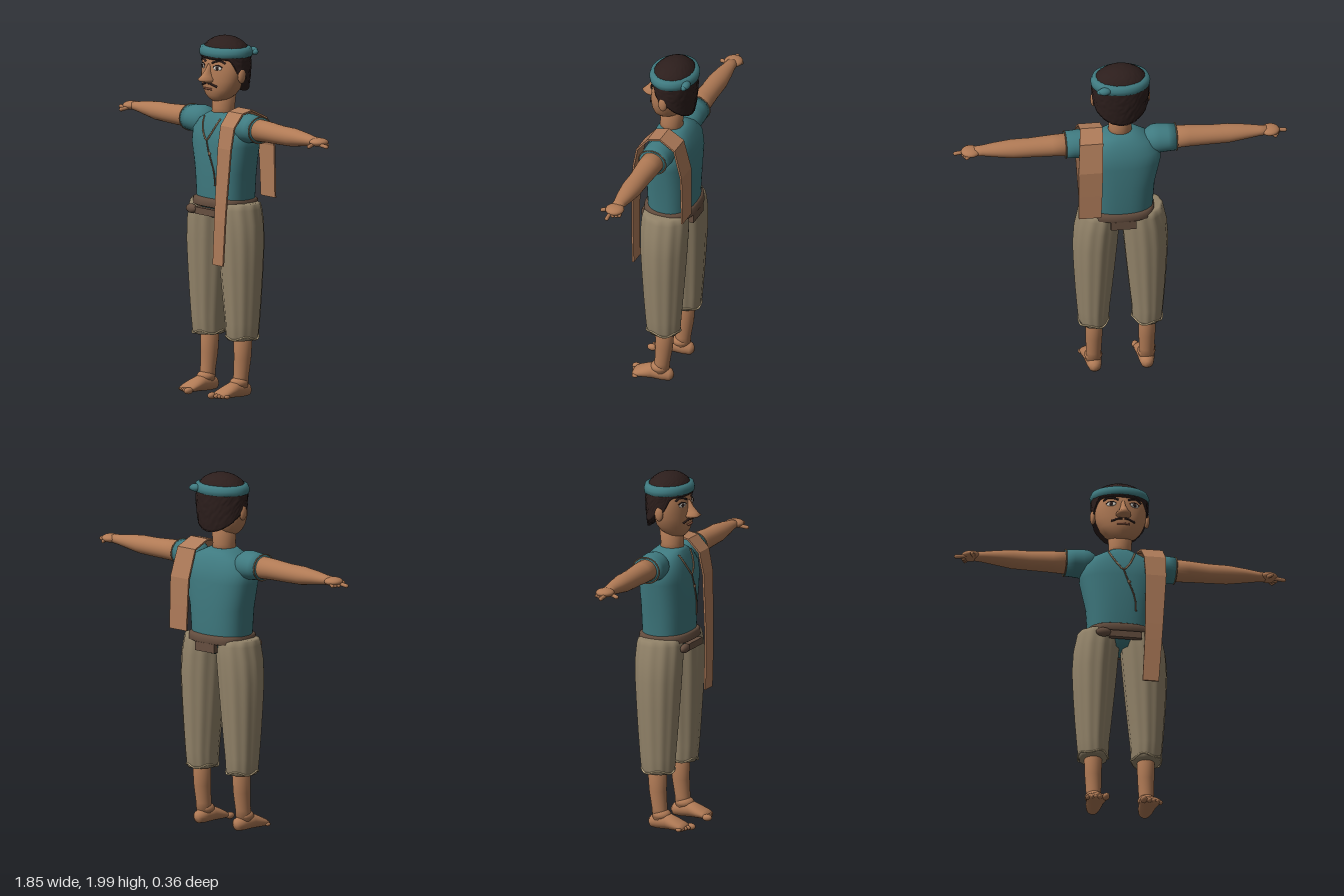
import * as THREE from 'three';

const mat = (name, color) => Object.assign(new THREE.MeshStandardMaterial({ color }), { name });
const V = (x, y, z) => new THREE.Vector3(x, y, z);

// Closed surface through a list of point rings, with capped ends
function skinRings(rings) {
  const n = rings[0].length, pos = [], idx = [];
  rings.forEach(r => r.forEach(p => pos.push(p.x, p.y, p.z)));
  for (let i = 0; i < rings.length - 1; i++) {
    for (let j = 0; j < n; j++) {
      const k = (j + 1) % n, a = i * n + j, b = i * n + k, c = a + n, d = b + n;
      idx.push(a, c, b, b, c, d);
    }
  }
  [0, rings.length - 1].forEach(i => {
    const mid = V(0, 0, 0);
    rings[i].forEach(p => mid.addScaledVector(p, 1 / n));
    const m = pos.push(mid.x, mid.y, mid.z) / 3 - 1;
    for (let j = 0; j < n; j++) {
      const a = i * n + j, b = i * n + (j + 1) % n;
      if (i === 0) idx.push(m, a, b); else idx.push(m, b, a);
    }
  });
  const g = new THREE.BufferGeometry();
  g.setAttribute('position', new THREE.Float32BufferAttribute(pos, 3));
  g.setIndex(idx);
  g.computeVertexNormals();
  return g;
}

// Loft from rows [height, centre x, centre z, radius x, radius z]; p < 1 squares the section
function loft(rows, { n = 32, p = 1, fold = 0, folds = 11 } = {}) {
  const pw = v => Math.sign(v) * Math.abs(v) ** p;
  return skinRings(rows.map(([y, cx, cz, rx, rz]) => Array.from({ length: n }, (_, j) => {
    const t = j / n * Math.PI * 2, f = 1 + fold * Math.cos(folds * t);
    return V(cx + rx * f * pw(Math.cos(t)), y, cz + rz * f * pw(Math.sin(t)));
  })));
}

// Depth of the front surface of a loft at x, y
function frontZ(rows, p, x, y) {
  const i = Math.max(1, rows.findIndex(r => r[0] >= y));
  const t = (y - rows[i - 1][0]) / (rows[i][0] - rows[i - 1][0]);
  const [, , cz, rx, rz] = rows[i].map((v, k) => THREE.MathUtils.lerp(rows[i - 1][k], v, t));
  return cz + rz * Math.max(0, 1 - Math.abs(x / rx) ** (2 / p)) ** (p / 2);
}

const ball = (x, y, z, a, b, c) => new THREE.SphereGeometry(1, 20, 14).scale(a, b, c).translate(x, y, z);
const tube = (pts, r, closed = false) =>
  new THREE.TubeGeometry(new THREE.CatmullRomCurve3(pts, closed), pts.length * 5, r, 7, closed);
function finger(a, b, r) {
  const d = b.clone().sub(a), g = new THREE.CapsuleGeometry(r, d.length(), 5, 10);
  g.applyQuaternion(new THREE.Quaternion().setFromUnitVectors(V(0, 1, 0), d.normalize()));
  return g.translate((a.x + b.x) / 2, (a.y + b.y) / 2, (a.z + b.z) / 2);
}
function mirrored(g) {
  const m = g.clone().scale(-1, 1, 1), ix = m.index.array;
  for (let i = 0; i < ix.length; i += 3) [ix[i], ix[i + 1]] = [ix[i + 1], ix[i]];
  return m;
}

export function createModel() {
  const root = new THREE.Group();
  root.name = 'villager';
  const skin = mat('skin', 0xb07a55), teal = mat('teal cloth', 0x3f7a80), hairM = mat('dark hair', 0x2c1e1c);
  const khaki = mat('khaki cloth', 0x93846a), leather = mat('brown sash', 0x664f40);
  const scarfM = mat('tan scarf', 0xae7b59), trim = mat('pale trim', 0xc4b08a);
  const cordM = mat('cord', 0x8a6f55), white = mat('eye white', 0xd8d2c8), lip = mat('lip', 0x84503c);
  const add = (name, g, m) => {
    const mesh = new THREE.Mesh(g, m);
    mesh.name = name;
    root.add(mesh);
  };
  const pair = (name, g, m) => {
    add(name + 'Left', g, m);
    add(name + 'Right', mirrored(g), m);
  };

  // Shirt, with a cord necklace and a slanted front opening
  const torso = [[0.99, 0, -0.03, 0.08, 0.08], [1.04, 0, -0.032, 0.165, 0.12], [1.1, 0, -0.032, 0.177, 0.13],
    [1.25, 0, -0.032, 0.188, 0.135], [1.4, 0, -0.032, 0.222, 0.137], [1.47, 0, -0.032, 0.22, 0.128],
    [1.53, 0, -0.03, 0.17, 0.105], [1.56, 0, -0.025, 0.11, 0.085], [1.578, 0, -0.02, 0.07, 0.068]];
  add('shirt', loft(torso, { p: 0.8, n: 40 }), teal);
  const onChest = (x, y) => V(x, y, frontZ(torso, 0.8, x, y) + 0.003);
  add('necklace', tube([[-0.075, 1.55], [-0.06, 1.51], [-0.03, 1.46], [0, 1.43], [0.03, 1.46], [0.055, 1.51], [0.07, 1.55]]
    .map(q => onChest(...q)), 0.005), cordM);
  add('shirtOpening', tube([[0, 1.43], [0.025, 1.36], [0.05, 1.3], [0.065, 1.25], [0.07, 1.18]]
    .map(q => onChest(...q)), 0.0045), leather);
  const bead = onChest(0.03, 1.355);
  add('bead', ball(bead.x, bead.y, bead.z, 0.01, 0.01, 0.008), cordM);

  // Sash with pouch
  add('sash', loft([[1.055, 0, -0.03, 0.17, 0.135], [1.062, 0, -0.03, 0.185, 0.148], [1.098, 0, -0.03, 0.183, 0.144],
    [1.106, 0, -0.03, 0.17, 0.13]], { p: 0.7, n: 40 }), leather);
  add('sashFold', new THREE.BoxGeometry(0.18, 0.038, 0.03).translate(0.01, 1.03, 0.107), leather);
  add('sashBackFold', new THREE.BoxGeometry(0.14, 0.05, 0.03).translate(0, 1.035, -0.16), leather);
  add('pouch', ball(-0.115, 1.035, 0.117, 0.042, 0.026, 0.022).rotateZ(0.0), leather);

  // Sleeves, arms and hands, lofted along x
  const alongX = rows => loft(rows, { n: 28 }).rotateZ(-Math.PI / 2).translate(0, 1.506, 0);
  pair('sleeve', alongX([[0.13, 0, -0.03, 0.035, 0.04], [0.145, 0, -0.03, 0.058, 0.062], [0.175, 0, -0.03, 0.077, 0.08],
    [0.21, 0, -0.03, 0.081, 0.084], [0.26, 0, -0.03, 0.075, 0.083], [0.308, 0, -0.03, 0.072, 0.081]]), teal);
  pair('sleeveHem', new THREE.TorusGeometry(0.075, 0.004, 6, 32).rotateY(Math.PI / 2)
    .scale(1, 0.97, 1.08).translate(0.307, 1.506, -0.03), cordM);
  pair('arm', alongX([[0.28, 0, -0.03, 0.063, 0.066], [0.38, 0, -0.03, 0.058, 0.063], [0.5, 0.003, -0.03, 0.053, 0.056],
    [0.6, 0.002, -0.03, 0.051, 0.057], [0.7, 0, -0.03, 0.038, 0.046], [0.77, 0, -0.03, 0.028, 0.034],
    [0.81, 0, -0.03, 0.024, 0.034]]), skin);
  pair('palm', ball(0.83, 1.506, -0.03, 0.053, 0.024, 0.052), skin);
  pair('indexFinger', finger(V(0.85, 1.497, -0.015), V(0.914, 1.49, -0.017), 0.011), skin);
  pair('thumb', finger(V(0.82, 1.497, 0), V(0.835, 1.488, 0.043), 0.011), skin);
  [-0.035, -0.053, -0.068].forEach((z, i) => pair('curledFinger' + i,
    finger(V(0.845, 1.497, z), V(0.872 - i * 0.008, 1.488, z), 0.01), skin));

  // Trousers with soft vertical folds and a wavy hem
  pair('trouserLeg', loft([[0.325, 0.148, -0.03, 0.076, 0.086], [0.345, 0.148, -0.03, 0.083, 0.094],
    [0.42, 0.15, -0.03, 0.088, 0.1], [0.55, 0.148, -0.03, 0.1, 0.11], [0.7, 0.145, -0.03, 0.112, 0.12],
    [0.85, 0.141, -0.03, 0.122, 0.129], [0.97, 0.132, -0.03, 0.123, 0.133], [1.05, 0.121, -0.03, 0.117, 0.13],
    [1.078, 0.12, -0.03, 0.113, 0.122], [1.085, 0.12, -0.03, 0.1, 0.105]], { n: 66, fold: 0.022 }), khaki);
  pair('trouserHem', tube(Array.from({ length: 24 }, (_, i) => {
    const t = i / 24 * Math.PI * 2;
    return V(0.148 + 0.084 * Math.cos(t), 0.338 + 0.009 * Math.sin(4 * t), -0.03 + 0.094 * Math.sin(t));
  }), 0.005, true), trim);

  // Shins and bare feet
  pair('shin', loft([[0.06, 0.147, -0.015, 0.043, 0.046], [0.12, 0.147, -0.022, 0.042, 0.043],
    [0.22, 0.147, -0.033, 0.046, 0.049], [0.36, 0.147, -0.037, 0.05, 0.055]]), skin);
  pair('ankle', ball(0.147, 0.085, -0.008, 0.05, 0.034, 0.052), skin);
  pair('foot', loft([[-0.084, 0.145, -0.042, 0.015, 0.018], [-0.07, 0.145, -0.043, 0.034, 0.034],
    [-0.03, 0.146, -0.048, 0.043, 0.043], [0.03, 0.147, -0.052, 0.05, 0.045], [0.08, 0.149, -0.041, 0.058, 0.034],
    [0.12, 0.15, -0.031, 0.058, 0.024], [0.14, 0.15, -0.028, 0.045, 0.017]]).rotateX(Math.PI / 2), skin);
  for (let i = 0; i < 5; i++) {
    const r = i ? 0.0145 - i * 0.0008 : 0.019, x = i ? 0.116 + i * 0.022 : 0.105;
    pair('toe' + i, ball(x, 0.023, 0.147 - i * 0.007, r, r, r * 1.5), skin);
  }

  // Scarf: thin strip running up the chest, over the shoulder and down the back
  const path = [[0.1, 0.19, 0.75, 0.135], [0.112, 0.208, 1, 0.133], [0.115, 0.215, 1.1, 0.13], [0.12, 0.235, 1.4, 0.115],
    [0.115, 0.236, 1.52, 0.092], [0.105, 0.23, 1.59, 0.03], [0.1, 0.225, 1.605, -0.04], [0.108, 0.238, 1.56, -0.13],
    [0.115, 0.25, 1.4, -0.176], [0.12, 0.25, 1.25, -0.18], [0.125, 0.25, 1.11, -0.183]];
  const scarf = skinRings(path.map(([x0, x1, y, z], i) => {
    const a = path[Math.max(0, i - 1)], b = path[Math.min(path.length - 1, i + 1)];
    const d = V(1, 0, 0).cross(V(0, b[2] - a[2], b[3] - a[3]).normalize()).multiplyScalar(0.005);
    return [[x1, -1], [x1, 1], [x0, 1], [x0, -1]].map(([x, s]) => V(x, y, z).addScaledVector(d, s));
  })).toNonIndexed();
  scarf.computeVertexNormals();
  add('scarf', scarf, scarfM);

  // Neck and head
  add('neck', loft([[1.53, 0, -0.015, 0.07, 0.068], [1.6, 0, -0.015, 0.063, 0.063], [1.71, 0, -0.02, 0.068, 0.07]]), skin);
  const head = [[1.642, 0, 0.025, 0.03, 0.03], [1.652, 0, 0.015, 0.06, 0.052], [1.675, 0, 0.004, 0.092, 0.078],
    [1.71, 0, -0.003, 0.118, 0.094], [1.76, 0, -0.006, 0.138, 0.099], [1.82, 0, -0.012, 0.145, 0.1],
    [1.88, 0, -0.02, 0.138, 0.102], [1.94, 0, -0.03, 0.11, 0.085], [1.975, 0, -0.035, 0.05, 0.04]];
  add('head', loft(head, { n: 40 }), skin);
  add('nose', loft([[1.748, 0, 0.092, 0.024, 0.022], [1.757, 0, 0.095, 0.04, 0.05], [1.768, 0, 0.097, 0.042, 0.061],
    [1.785, 0, 0.092, 0.028, 0.047], [1.815, 0, 0.085, 0.015, 0.028], [1.85, 0, 0.076, 0.01, 0.014]], { n: 20 }), skin);
  pair('ear', ball(0.15, 1.79, -0.025, 0.016, 0.042, 0.025), skin);

  // Face details
  const onFace = (x, y, off = 0.002) => V(x, y, frontZ(head, 1, x, y) + off);
  const feature = (name, x, y, a, b, c, m, off) => {
    const p = onFace(x, y, off);
    pair(name, new THREE.SphereGeometry(1, 16, 12).scale(a, b, c).rotateY(0.38).translate(p.x, p.y, p.z), m);
  };
  feature('eye', 0.065, 1.832, 0.027, 0.013, 0.005, white, 0.001);
  feature('iris', 0.065, 1.832, 0.011, 0.011, 0.005, hairM, 0.004);
  const strokes = (name, pts, r, m) => pair(name, tube(pts.map(q => onFace(...q)), r), m);
  strokes('eyelid', [[0.037, 1.835], [0.05, 1.844], [0.068, 1.847], [0.093, 1.836]], 0.0035, hairM);
  strokes('eyebrow', [[0.025, 1.858], [0.05, 1.868], [0.08, 1.872], [0.105, 1.858]], 0.0055, hairM);
  strokes('moustache', [[0.005, 1.742], [0.025, 1.742], [0.045, 1.735], [0.066, 1.728]], 0.006, hairM);
  add('mouth', tube([-0.035, -0.015, 0, 0.015, 0.035].map(x => onFace(x, 1.712)), 0.006), lip);

  // Curly hair: bumpy cap with a hairline that drops toward the back
  const hairRings = [];
  for (let i = 0; i <= 34; i++) {
    hairRings.push(Array.from({ length: 80 }, (_, j) => {
      const t = j / 80 * Math.PI * 2, f = Math.sin(t);
      const low = 1.795 + 0.115 * Math.min(f, 0) + 0.088 * THREE.MathUtils.smoothstep(f, 0.2, 0.65);
      const y = low + (1.997 - low) * Math.sin(i / 34 * Math.PI / 2);
      const r = y > 1.88 ? Math.sqrt(Math.max(0, 1 - ((y - 1.88) / 0.118) ** 2)) : 1 - 0.12 * ((1.88 - y) / 0.2) ** 2;
      const h = Math.sin(i * 127.1 + j * 311.7) * 43758.5453;
      const k = r * (1 + 0.035 * (h - Math.floor(h) - 0.5));
      return V(0.159 * k * Math.cos(t), y, -0.033 + 0.126 * k * f);
    }));
  }
  add('hair', skinRings(hairRings), hairM);

  // Headband with a knot behind
  add('headband', loft([[1.888, 0, -0.033, 0.15, 0.12], [1.892, 0, -0.033, 0.163, 0.132], [1.915, 0, -0.033, 0.165, 0.134],
    [1.937, 0, -0.033, 0.156, 0.127], [1.942, 0, -0.033, 0.135, 0.108]], { n: 48 }), teal);
  add('headbandKnot', ball(0.1, 1.915, -0.143, 0.034, 0.022, 0.024), teal);
  add('headbandKnotEnd', ball(0.125, 1.91, -0.14, 0.018, 0.015, 0.016), teal);
  return root;
}
